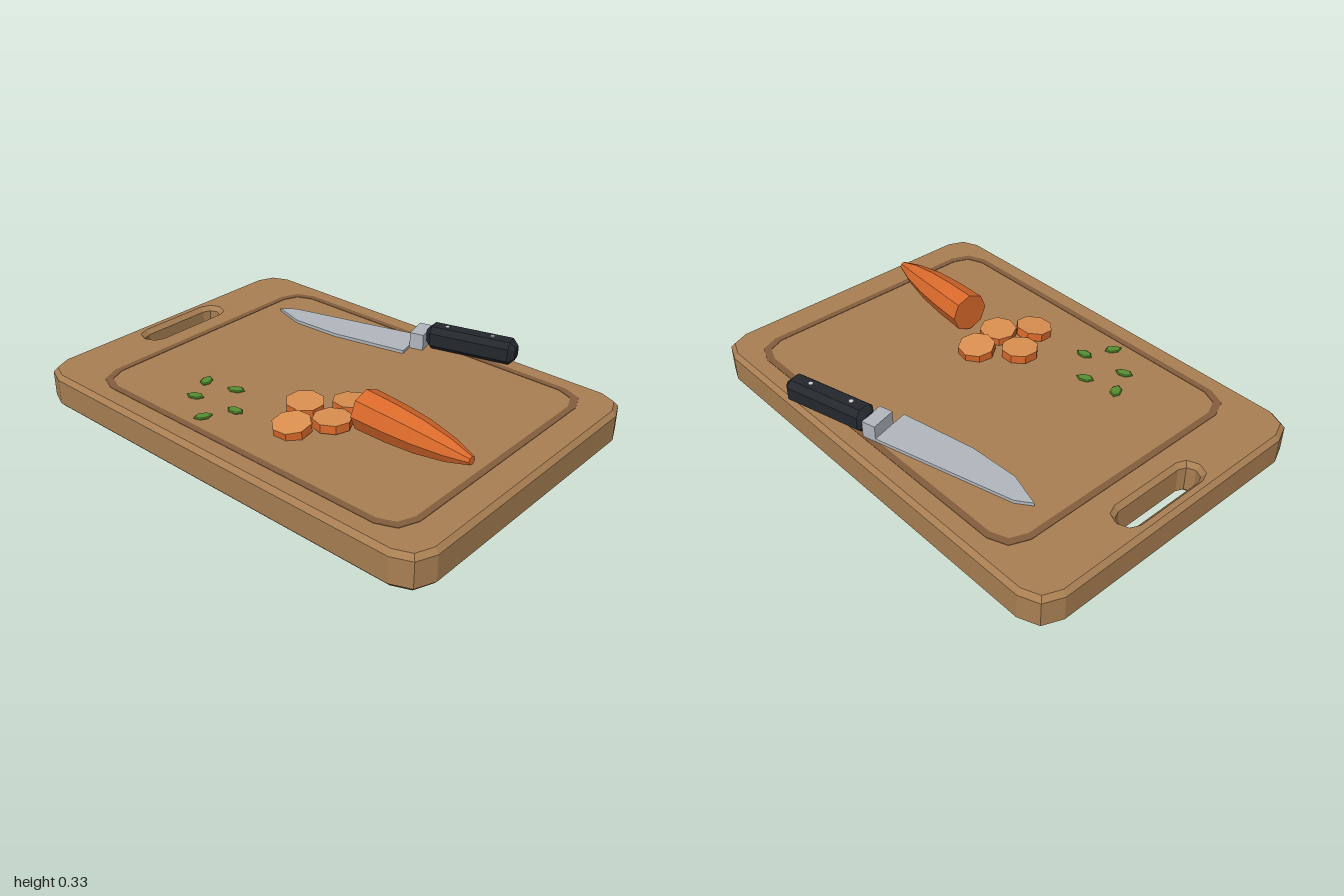
import * as THREE from 'three';

const TOP = 0.15; // height of the board's upper face
const mat = (color) => new THREE.MeshStandardMaterial({ color, flatShading: true });
const wood = mat(0xa97f53), grooveWood = mat(0x835e3c), steel = mat(0xb2b7be), rivetSteel = mat(0xd0d3d6);
const black = mat(0x24282d), orange = mat(0xd9692b), cutOrange = mat(0xdc9050), green = mat(0x578f30);

function add(parent, name, geometry, material, x = 0, y = 0, z = 0) {
  const mesh = new THREE.Mesh(geometry, material);
  mesh.name = name;
  mesh.position.set(x, y, z);
  parent.add(mesh);
  return mesh;
}

// Rounded rectangle centred on (cx, cy) with half sizes w, h
function roundedRect(PathType, cx, cy, w, h, r) {
  const p = new PathType();
  const q = Math.PI / 2;
  [[1, 1], [-1, 1], [-1, -1], [1, -1]].forEach(([sx, sy], i) =>
    p.absarc(cx + sx * (w - r), cy + sy * (h - r), r, i * q, (i + 1) * q, false));
  p.closePath();
  return p;
}

// Extrude an outline lying in the ground plane (shape y = -z) upwards
function slab(shape, depth, bevel = 0, bevelHeight = bevel) {
  return new THREE.ExtrudeGeometry(shape, {
    depth: depth - 2 * bevelHeight, curveSegments: 1, bevelEnabled: bevel > 0, bevelSegments: 1,
    bevelSize: bevel, bevelThickness: bevelHeight, bevelOffset: -bevel,
  }).translate(0, 0, bevelHeight).rotateX(-Math.PI / 2);
}

const outline = (points) => new THREE.Shape(points.map(([x, z]) => new THREE.Vector2(x, -z)));

function makeBoard() {
  const board = new THREE.Group();
  board.name = 'cuttingBoard';
  const body = roundedRect(THREE.Shape, 0, 0, 1, 0.7, 0.115);
  body.holes.push(roundedRect(THREE.Path, -0.893, 0, 0.047, 0.21, 0.045));
  add(board, 'boardBody', slab(body, TOP, 0.018, 0.02), wood);
  // Juice groove: a thin dark ring
  const ring = roundedRect(THREE.Shape, 0.057, 0, 0.807, 0.615, 0.11);
  ring.holes.push(roundedRect(THREE.Path, 0.057, 0, 0.779, 0.587, 0.095));
  add(board, 'juiceGroove', slab(ring, 0.004), grooveWood, 0, TOP - 0.002, 0);
  return board;
}

function makeKnife() {
  const knife = new THREE.Group();
  knife.name = 'knife';
  const blade = outline([
    [-0.752, -0.015], [-0.682, -0.043], [-0.01, -0.046], [-0.03, 0.05], [-0.06, 0.06],
    [-0.062, 0.134], [-0.403, 0.114], [-0.619, 0.067],
  ]);
  add(knife, 'blade', slab(blade, 0.014), steel, 0, 0.002, 0);
  add(knife, 'bolster', new THREE.BoxGeometry(0.062, 0.073, 0.113), steel, -0.029, 0.0385, 0.01);

  // Handle: octagonal section with bevelled ends
  const w = 0.05, h = 0.052, c = 0.024;
  const section = new THREE.Shape([
    [w, h - c], [w - c, h], [c - w, h], [-w, h - c], [-w, c - h], [c - w, -h], [w - c, -h], [w, c - h],
  ].map(([x, y]) => new THREE.Vector2(x, y)));
  const handle = new THREE.ExtrudeGeometry(section, {
    depth: 0.352, bevelSegments: 1, bevelSize: 0.024, bevelThickness: 0.025, bevelOffset: -0.024,
  }).translate(0, 0, 0.025).rotateY(Math.PI / 2);
  add(knife, 'handle', handle, black, 0, 0.053, 0);
  for (const x of [0.087, 0.292]) {
    add(knife, 'rivet', new THREE.CylinderGeometry(0.01, 0.01, 0.11, 8), rivetSteel, x, 0.053, 0);
  }
  knife.position.set(0.09, TOP, -0.565);
  knife.rotation.y = THREE.MathUtils.degToRad(15);
  return knife;
}

function makeCarrot() {
  const carrot = new THREE.Group();
  carrot.name = 'carrot';
  // Tapered root, turned so that its tip points along +x
  const profile = [[0, 0], [0.086, 0], [0.081, 0.15], [0.07, 0.28], [0.047, 0.41], [0.018, 0.505], [0, 0.506]];
  const root = new THREE.LatheGeometry(profile.map(([r, y]) => new THREE.Vector2(r, y)), 8).rotateZ(-Math.PI / 2);
  add(carrot, 'carrotRoot', root, orange, 0.35, 0.24, 0.173).rotation.y = -0.06;

  // Cut slices: x, z, turn, tilt about x, tilt about z
  const slices = [
    [0.205, 0.085, 0.2, -0.09, 0.03], [0.07, 0.21, 0.35, 0.02, -0.03],
    [0.235, 0.235, 0.1, -0.03, 0.04], [0.145, 0.365, 0.45, 0.13, 0.02],
  ];
  for (const [x, z, turn, tiltX, tiltZ] of slices) {
    const geometry = new THREE.CylinderGeometry(0.08, 0.08, 0.036, 8).rotateY(turn);
    const slice = add(carrot, 'carrotSlice', geometry, [orange, cutOrange, cutOrange], x, 0.17, z);
    slice.rotation.set(tiltX, 0, tiltZ);
  }
  return carrot;
}

function makeLeaves() {
  const leaves = new THREE.Group();
  leaves.name = 'herbLeaves';
  const leaf = slab(outline([
    [-0.038, 0], [-0.018, 0.021], [0.016, 0.022], [0.038, 0], [0.018, -0.021], [-0.016, -0.022],
  ]), 0.01, 0.004, 0.003);
  // x, z, turn
  const spots = [
    [-0.385, 0.32, -1.1], [-0.24, 0.29, 0.4], [-0.325, 0.435, 0.35], [-0.12, 0.41, 0.1], [-0.18, 0.525, 1.1],
  ];
  for (const [x, z, turn] of spots) add(leaves, 'leaf', leaf, green, x, TOP, z).rotation.y = turn;
  return leaves;
}

export function createModel() {
  const model = new THREE.Group();
  model.name = 'cuttingBoardWithKnifeAndCarrot';
  model.add(makeBoard(), makeKnife(), makeCarrot(), makeLeaves());
  return model;
}
